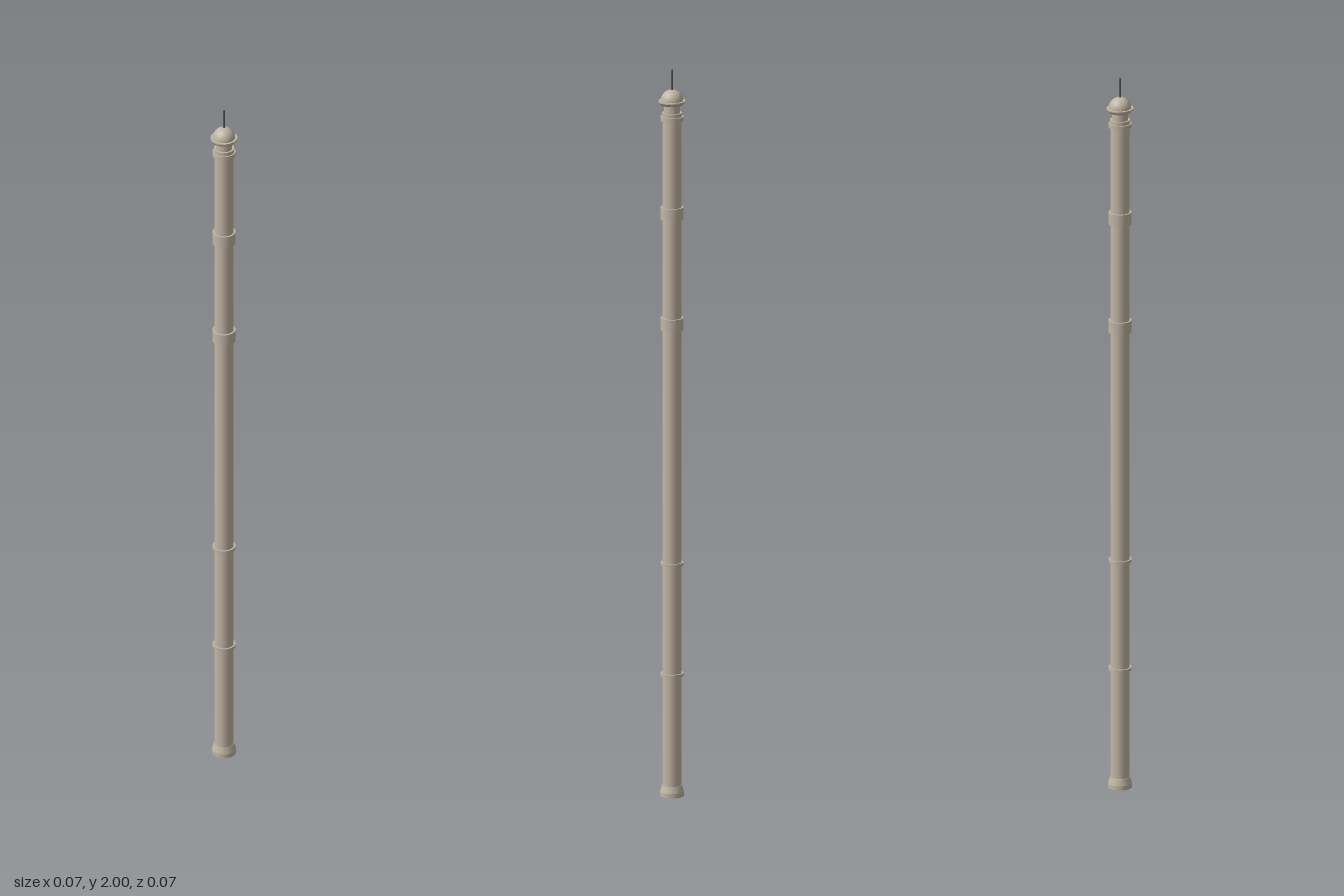
import * as THREE from 'three';

export function createModel() {
  const group = new THREE.Group();
  group.name = 'column';
  const stone = new THREE.MeshStandardMaterial({ color: 0xc2b5a5 });
  stone.name = 'warm stone';
  const trim = new THREE.MeshStandardMaterial({ color: 0xbfb5a3 });
  trim.name = 'pale stone trim';
  const metal = new THREE.MeshStandardMaterial({ color: 0x55565c });
  metal.name = 'dark metal';

  const SIDES = 32;
  const add = (name, geometry, material, y = 0) => {
    const mesh = new THREE.Mesh(geometry, material);
    mesh.name = name;
    mesh.position.y = y;
    group.add(mesh);
  };
  // Round part standing between two heights
  const drum = (name, rBottom, rTop, y0, y1, material, sides = SIDES) =>
    add(name, new THREE.CylinderGeometry(rTop, rBottom, y1 - y0, sides), material, (y0 + y1) / 2);

  // Foot and shaft
  drum('footPlate', 0.032, 0.032, 0, 0.012, trim);
  drum('footFlare', 0.032, 0.027, 0.012, 0.03, trim);
  drum('shaft', 0.026, 0.026, 0.005, 1.87, stone);

  // Thin rings on the lower shaft
  for (const y of [0.335, 0.64]) drum('shaftRing', 0.031, 0.031, y - 0.004, y + 0.004, trim);

  // Wide bands on the upper shaft
  for (const y of [1.3, 1.605]) drum('shaftBand', 0.031, 0.031, y - 0.017, y + 0.017, stone);

  // Collar and neck under the cap
  drum('collar', 0.031, 0.031, 1.861, 1.872, trim);
  drum('neckBase', 0.027, 0.027, 1.872, 1.882, trim);
  drum('neck', 0.022, 0.022, 1.88, 1.912, stone);

  // Cap: brim and dome
  drum('brim', 0.03, 0.036, 1.904, 1.911, stone);
  drum('brimEdge', 0.036, 0.036, 1.911, 1.915, stone);
  add('dome', new THREE.SphereGeometry(0.03, SIDES, 10, 0, Math.PI * 2, 0, Math.PI / 2), trim, 1.915);

  // Spire
  drum('spire', 0.0025, 0.002, 1.94, 2, metal, 8);
  return group;
}
